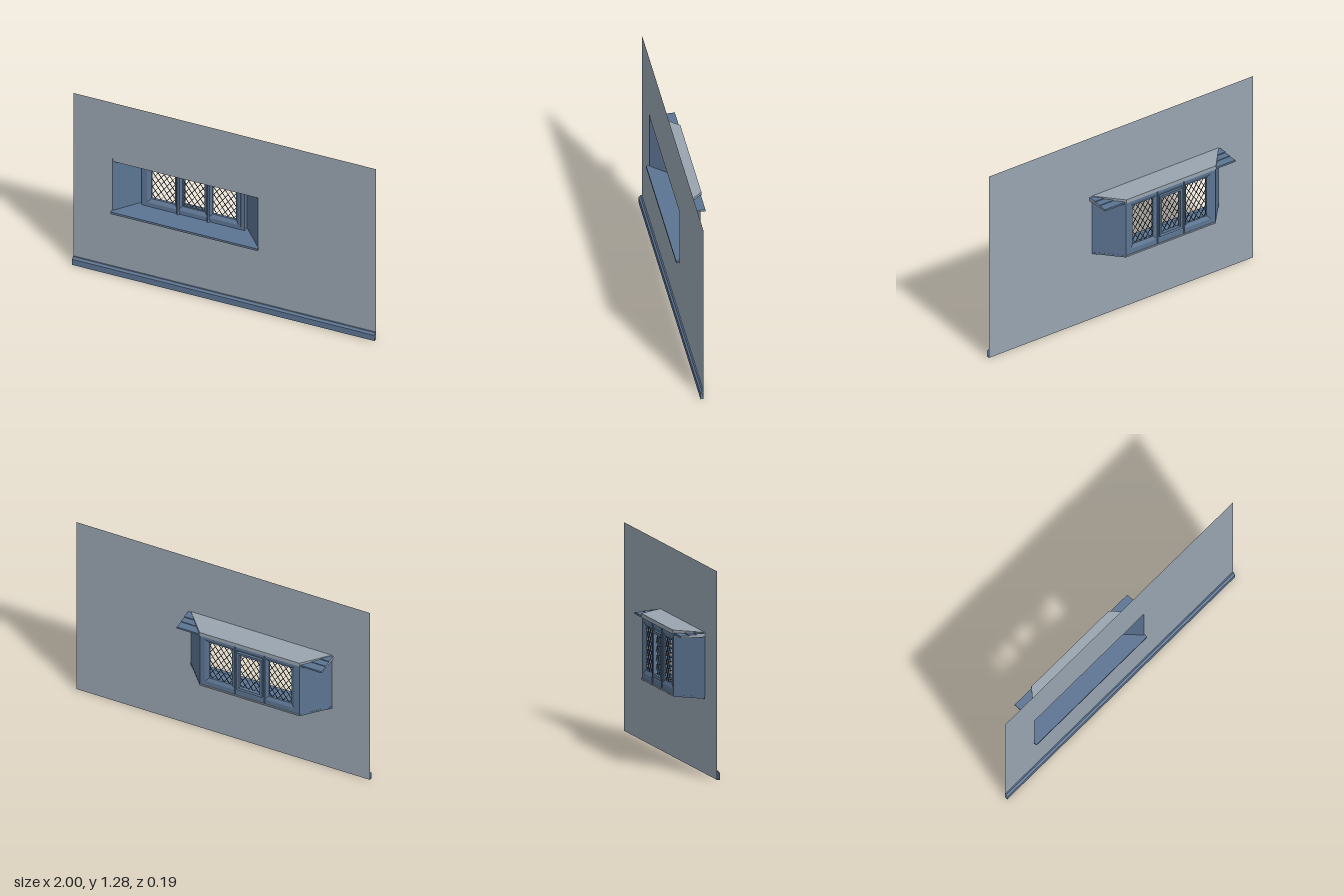
import * as THREE from 'three';

const mat = (name, color) => {
  const m = new THREE.MeshStandardMaterial({ color, side: THREE.DoubleSide });
  m.name = name;
  return m;
};

export function createModel() {
  const plaster = mat('grey plaster', 0x98a4b0);
  const timber = mat('blue timber', 0x5c7492);
  const lead = mat('dark lead', 0x3c4a5c);
  const root = new THREE.Group();
  root.name = 'bayWindowWall';

  const add = (name, geometry, material, parent = root) => {
    const m = new THREE.Mesh(geometry, material);
    m.name = name;
    parent.add(m);
    return m;
  };
  // box given by its limits on each axis
  const box = (name, x0, x1, y0, y1, z0, z1, material, parent) => {
    const g = new THREE.BoxGeometry(x1 - x0, y1 - y0, z1 - z0);
    g.translate((x0 + x1) / 2, (y0 + y1) / 2, (z0 + z1) / 2);
    return add(name, g, material, parent);
  };
  // flat plate from a plan outline of [x, z] points
  const slab = (name, plan, top, thick, material) => {
    const shape = new THREE.Shape(plan.map(p => new THREE.Vector2(p[0], p[1])));
    const g = new THREE.ExtrudeGeometry(shape, { depth: thick, bevelEnabled: false });
    g.rotateX(Math.PI / 2).translate(0, top, 0);
    return add(name, g, material);
  };
  // surface through rows of points, flat shaded
  const loft = (name, rows, material, parent) => {
    const pos = [];
    for (let i = 0; i + 1 < rows.length; i++) {
      for (let j = 0; j + 1 < rows[i].length; j++) {
        const a = rows[i][j], b = rows[i][j + 1], c = rows[i + 1][j + 1], d = rows[i + 1][j];
        pos.push(...a, ...b, ...c, ...a, ...c, ...d);
      }
    }
    const g = new THREE.BufferGeometry();
    g.setAttribute('position', new THREE.Float32BufferAttribute(pos, 3));
    g.computeVertexNormals();
    return add(name, g, material, parent);
  };
  // mitred frame: rectangle x0..x1, y0..y1 inset along a closed [inset, z] section
  const frame = (name, x0, x1, y0, y1, section, parent) => {
    const rows = section.map(([s, z]) => [
      [x0 + s, y0 + s, z], [x1 - s, y0 + s, z], [x1 - s, y1 - s, z], [x0 + s, y1 - s, z], [x0 + s, y0 + s, z],
    ]);
    return loft(name, rows, timber, parent);
  };

  // wall sheet with the bay opening
  const wall = new THREE.Shape([[-1, 0], [1, 0], [1, 1.285], [-1, 1.285]].map(p => new THREE.Vector2(...p)));
  wall.holes.push(new THREE.Path([[-0.74, 0.465], [-0.74, 0.868], [0.22, 0.868], [0.22, 0.465]].map(p => new THREE.Vector2(...p))));
  add('wall', new THREE.ShapeGeometry(wall).translate(0, 0, 0.072), plaster);

  // skirting moulding, open at the ends
  const skirting = [[0, 0.072], [0, 0.092], [0.042, 0.092], [0.048, 0.084], [0.055, 0.08], [0.055, 0.072]];
  loft('skirting', [-1, 1].map(x => skirting.map(([y, z]) => [x, y, z])), timber);

  // splayed side panels
  for (const [name, xf, xb] of [['rightSplay', -0.74, -0.6], ['leftSplay', 0.22, 0.08]]) {
    loft(name, [0.462, 0.865].map(y => [[xf, y, 0.073], [xb, y, -0.085]]), timber);
  }

  // sill board with a nosing in front of the wall
  slab('sill', [[-0.74, 0.072], [0.22, 0.072], [0.08, -0.086], [-0.6, -0.086]], 0.473, 0.013, timber);
  box('sillNosing', -0.745, 0.225, 0.459, 0.474, 0.07, 0.094, timber);
  box('outerLedge', -0.6, 0.08, 0.464, 0.473, -0.092, -0.085, plaster);

  // stepped roof planks under the plaster cap
  const plankMats = [plaster, plaster, timber, timber, timber, timber];
  [[-0.085, -0.03, 0.854], [-0.03, 0.015, 0.859], [0.015, 0.071, 0.865]].forEach(([z0, z1, top], i) =>
    box('roofPlank' + (i + 1), -0.75, 0.238, 0.842, top, z0, z1, plankMats));
  slab('roofCap', [[-0.74, 0.072], [0.22, 0.072], [0.08, -0.09], [-0.6, -0.09]], 0.87, 0.026, plaster);

  // diagonal lead bars clipped to a rectangle
  const lattice = (x0, x1, y0, y1, z, parent) => {
    const dx = 0.038, slope = 1.45, t = 0.0035, h = (y1 - y0) / slope;
    for (const dir of [1, -1]) {
      for (let k = -Math.ceil(h / dx); k * dx < x1 - x0; k++) {
        const s = k * dx + dx / 2;
        const u0 = Math.max(0, s), u1 = Math.min(x1 - x0, s + h);
        if (u1 - u0 < 0.004) continue;
        const v0 = (u0 - s) * slope, v1 = (u1 - s) * slope;
        const a = dir > 0 ? x0 + u0 : x1 - u0, b = dir > 0 ? x0 + u1 : x1 - u1;
        const bar = add('leadBar', new THREE.BoxGeometry(Math.hypot(b - a, v1 - v0), t, t), lead, parent);
        bar.position.set((a + b) / 2, y0 + (v0 + v1) / 2, z + dir * 0.001);
        bar.rotation.z = Math.atan2(v1 - v0, b - a);
      }
    }
  };

  // three lights, each a bevelled frame with a lattice
  const section = [[0, -0.045], [0.012, -0.045], [0.035, -0.06], [0.035, -0.075], [0.012, -0.086], [0, -0.086], [0, -0.045]];
  const lights = [['rightLight', -0.6, -0.36, 0.06, 0.025], ['centreLight', -0.36, -0.16, 0.025, 0.025], ['leftLight', -0.16, 0.08, 0.025, 0.06]];
  for (const [name, x0, x1, padL, padR] of lights) {
    const g = new THREE.Group();
    g.name = name;
    root.add(g);
    const a = x0 + padL, b = x1 - padR, y0 = 0.53, y1 = 0.802;
    // frame opening sits at a..b, y0..y1
    frame('bevelFrame', a - 0.035, b + 0.035, y0 - 0.035, y1 + 0.035, section, g);
    lattice(a, b, y0, y1, -0.072, g);
    if (name === 'centreLight') {
      // opening casement standing proud of the outside
      frame('casement', a - 0.012, b + 0.012, y0 - 0.012, y1 + 0.004,
        [[0, -0.062], [0.018, -0.066], [0.018, -0.092], [0, -0.094], [0, -0.062]], g);
    }
  }

  // outer posts, rails and pointed mullions
  box('rightPost', -0.6, -0.572, 0.473, 0.845, -0.086, -0.05, timber);
  box('leftPost', 0.052, 0.08, 0.473, 0.845, -0.086, -0.05, timber);
  box('bottomRail', -0.6, 0.08, 0.473, 0.498, -0.086, -0.05, timber);
  box('headRail', -0.6, 0.08, 0.832, 0.847, -0.086, -0.05, timber);
  for (const x of [-0.36, -0.16]) {
    const g = new THREE.CylinderGeometry(1, 1, 0.374, 4).toNonIndexed();
    g.scale(0.02, 1, 0.028);
    g.computeVertexNormals();
    add('mullion', g, timber).position.set(x, 0.659, -0.063);
  }
  return root;
}
